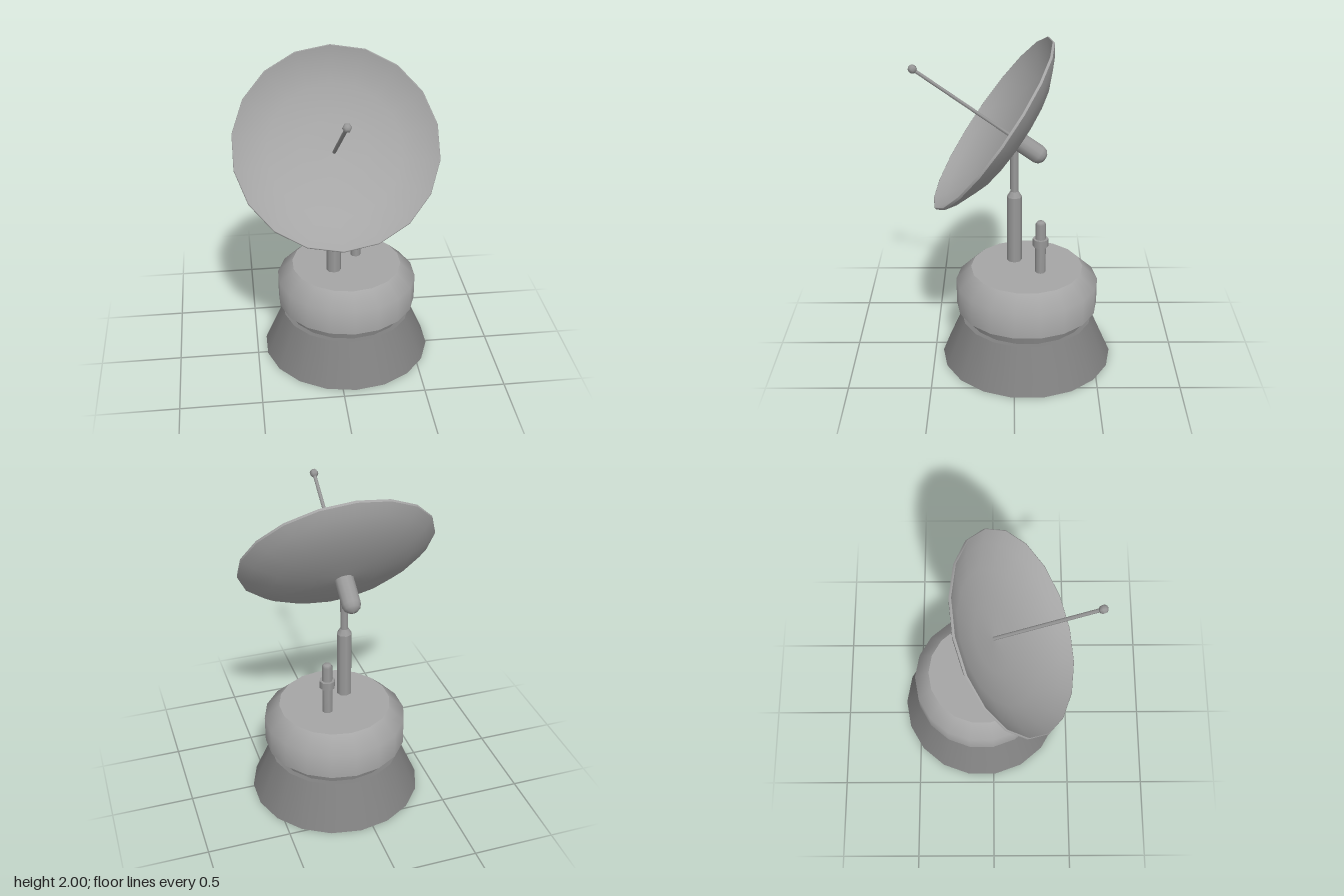
import * as THREE from 'three';
import { mergeGeometries } from 'three/addons/utils/BufferGeometryUtils.js';

const darkMetal = new THREE.MeshStandardMaterial({ color: 0x808080 });
const midMetal = new THREE.MeshStandardMaterial({ color: 0x999999 });
const lightMetal = new THREE.MeshStandardMaterial({ color: 0xa6a6a6 });

// Revolves [radius, height] profiles about y; each profile is smooth, the seams between them are sharp
function revolve(name, material, sides, ...profiles) {
  const parts = profiles.map((p) =>
    new THREE.LatheGeometry(p.map(([r, y]) => new THREE.Vector2(r, y)), sides));
  const mesh = new THREE.Mesh(mergeGeometries(parts), material);
  mesh.name = name;
  return mesh;
}

export function createModel() {
  const model = new THREE.Group();
  model.name = 'satelliteDish';

  // Round base: flared foot, recessed neck and chamfered drum
  const base = new THREE.Group();
  base.name = 'base';
  base.position.set(0.08, 0, -0.078);
  base.add(
    revolve('foot', darkMetal, 18,
      [[0, 0], [0.527, 0]],
      [[0.527, 0], [0.405, 0.28]],
      [[0.405, 0.28], [0, 0.28]]),
    revolve('neck', darkMetal, 18, [[0.374, 0.27], [0.374, 0.36]]),
    revolve('drum', lightMetal, 18,
      [[0, 0.355], [0.435, 0.355]],
      [[0.435, 0.355], [0.435, 0.52], [0.342, 0.608]],
      [[0.342, 0.608], [0, 0.608]]));
  model.add(base);

  // Stepped mast carrying the dish
  const mast = revolve('mast', midMetal, 8,
    [[0.046, 0.6], [0.046, 1.04]],
    [[0.046, 1.04], [0.025, 1.075]],
    [[0.025, 1.075], [0.025, 1.37]],
    [[0.025, 1.37], [0, 1.37]]);
  mast.position.set(-0.008, 0, -0.002);
  model.add(mast);

  // Short side post with a collar
  const post = new THREE.Group();
  post.name = 'sidePost';
  post.position.set(0.15, 0, -0.159);
  post.add(
    revolve('postShaft', midMetal, 8,
      [[0.032, 0.6], [0.032, 0.93], [0.022, 0.945], [0, 0.947]]),
    revolve('postCollar', midMetal, 8,
      [[0, 0.785], [0.048, 0.785]],
      [[0.048, 0.785], [0.048, 0.833]],
      [[0.048, 0.833], [0, 0.833]]));
  model.add(post);

  // Tilted dish; local y is the direction it points
  const dish = new THREE.Group();
  dish.name = 'dishAssembly';
  dish.position.set(-0.005, 1.512, 0.128);
  dish.rotation.x = THREE.MathUtils.degToRad(54.1);
  dish.add(
    revolve('dish', lightMetal, 18,
      [[0, -0.175], [0.2, -0.163], [0.41, -0.12], [0.54, -0.055], [0.602, -0.008]],
      [[0.602, -0.008], [0.602, 0.006], [0.597, 0.006]],
      [[0.597, 0.006], [0.53, -0.043], [0.4, -0.107], [0.2, -0.148], [0, -0.158]]),
    revolve('receiver', midMetal, 12,
      [[0, -0.388], [0.028, -0.381], [0.049, -0.363], [0.058, -0.335], [0.058, -0.165]]),
    revolve('feedRod', midMetal, 6, [[0.011, -0.16], [0.011, 0.55]]));
  const tip = new THREE.Mesh(new THREE.SphereGeometry(0.027, 6, 5), midMetal);
  tip.name = 'feedTip';
  tip.position.y = 0.56;
  dish.add(tip);
  model.add(dish);

  return model;
}
